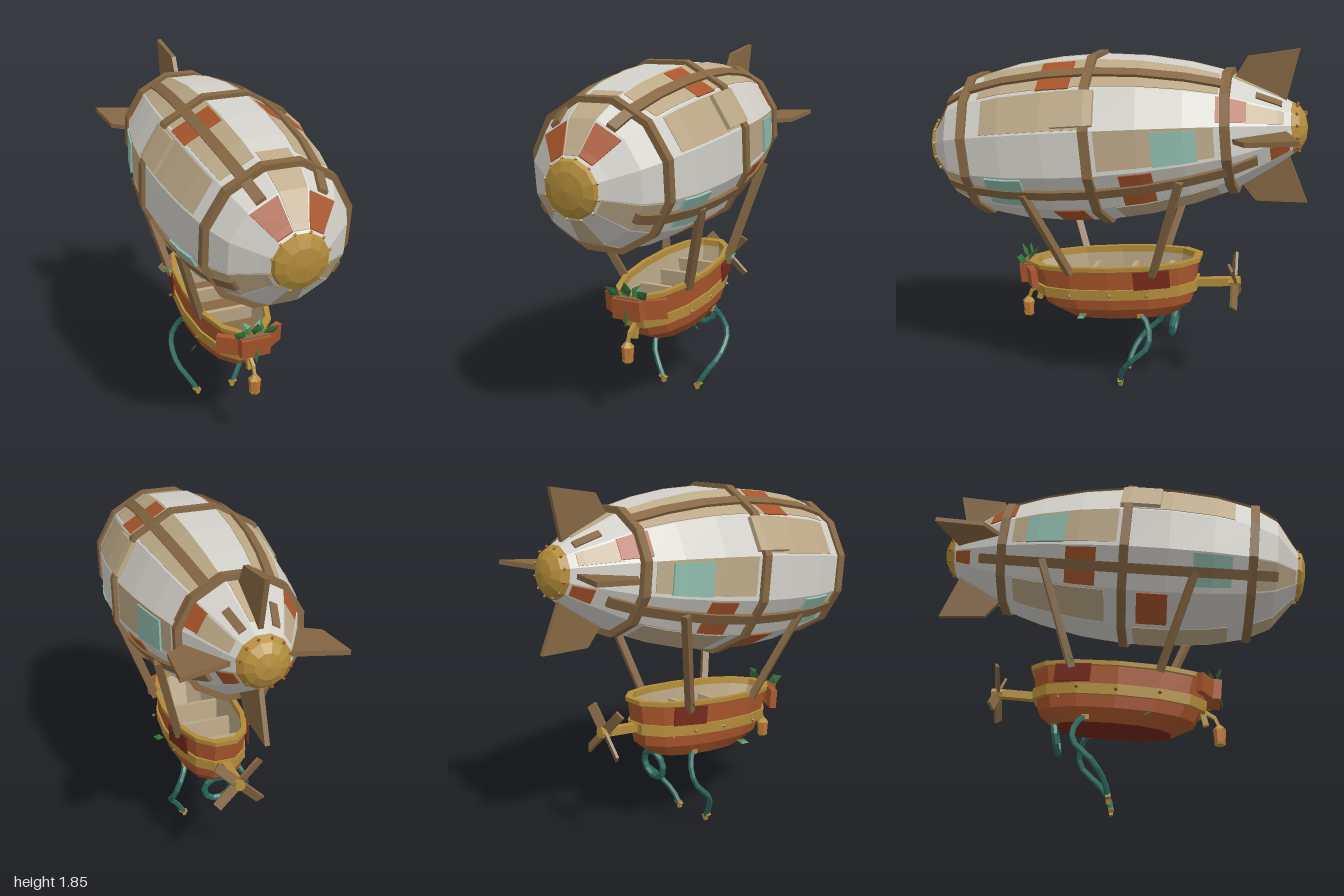
import * as THREE from 'three';

const mat = (name, color) => { const m = new THREE.MeshStandardMaterial({ color }); m.name = name; return m; };
const M = {
  white: mat('canvasWhite', 0xd2d0c9), tan: mat('canvasTan', 0xbba887), brown: mat('wood', 0x856743),
  gold: mat('brass', 0xb38d3a), rust: mat('rustWood', 0xa8552b), red: mat('darkRed', 0x74291b),
  rope: mat('ropeTeal', 0x2c6b60), teal: mat('patchTeal', 0x8fbaac), green: mat('leafGreen', 0x357038),
  amber: mat('lanternAmber', 0xc47a35),
};

// flat facets on any geometry
function flat(g) {
  const f = g.index ? g.toNonIndexed() : g;
  f.computeVertexNormals();
  return f;
}
function add(parent, name, geo, material, pos = [0, 0, 0], rot = [0, 0, 0]) {
  const m = new THREE.Mesh(flat(geo), material);
  m.name = name;
  m.position.set(...pos);
  m.rotation.set(...rot);
  parent.add(m);
  return m;
}
function fromQuads(quads) {
  const p = [];
  for (const [a, b, c, d] of quads) p.push(...a, ...b, ...c, ...a, ...c, ...d);
  const g = new THREE.BufferGeometry();
  g.setAttribute('position', new THREE.Float32BufferAttribute(p, 3));
  return g;
}
// square bar between two points
function beam(parent, name, a, b, w, material, h = w) {
  const A = new THREE.Vector3(...a), B = new THREE.Vector3(...b);
  const m = add(parent, name, new THREE.BoxGeometry(w, h, A.distanceTo(B)), material);
  m.position.copy(A).lerp(B, 0.5);
  m.quaternion.setFromUnitVectors(new THREE.Vector3(0, 0, 1), B.sub(A).normalize());
  return m;
}
function leaf(parent, base, dir, len, wid) {
  const g = new THREE.OctahedronGeometry(0.5).scale(wid, len, wid * 0.25).translate(0, len / 2, 0);
  const m = add(parent, 'leaf', g, M.green, base);
  m.quaternion.setFromUnitVectors(new THREE.Vector3(0, 1, 0), new THREE.Vector3(...dir).normalize());
}

// envelope: [position along axis, distance from axis to facet]
const PROFILE = [[-0.92, 0.118], [-0.85, 0.162], [-0.75, 0.215], [-0.613, 0.287], [-0.42, 0.345], [-0.2, 0.39],
  [0.045, 0.416], [0.27, 0.414], [0.5, 0.393], [0.7, 0.35], [0.83, 0.287], [0.92, 0.17], [0.955, 0.13]];
const T15 = Math.tan(Math.PI / 12), C15 = Math.cos(Math.PI / 12);
function radius(s) {
  for (let i = 1; i < PROFILE.length; i++) {
    const [s0, r0] = PROFILE[i - 1], [s1, r1] = PROFILE[i];
    if (s <= s1) return r0 + (r1 - r0) * (s - s0) / (s1 - s0);
  }
  return PROFILE.at(-1)[1];
}
// strip following facet k of the envelope, raised by d; lo/hi are facet fractions, or units when abs
function strip(k, s0, s1, lo, hi, d, abs = false) {
  const a = k * Math.PI / 6, sn = Math.sin(a), cs = Math.cos(a);
  const P = (s, u, h) => {
    const r = radius(s), t = abs ? u : u * r * T15;
    return [sn * (r + h) + cs * t, cs * (r + h) - sn * t, s];
  };
  const S = [s0, ...PROFILE.map(p => p[0]).filter(s => s > s0 + 1e-4 && s < s1 - 1e-4), s1];
  const q = [];
  for (let i = 1; i < S.length; i++) {
    const A = S[i - 1], B = S[i];
    q.push([P(A, lo, d), P(B, lo, d), P(B, hi, d), P(A, hi, d)]);
    if (d) q.push([P(A, lo, 0), P(B, lo, 0), P(B, lo, d), P(A, lo, d)], [P(A, hi, d), P(B, hi, d), P(B, hi, 0), P(A, hi, 0)]);
  }
  if (d) q.push([P(s1, lo, 0), P(s1, hi, 0), P(s1, hi, d), P(s1, lo, d)], [P(s0, lo, d), P(s0, hi, d), P(s0, hi, 0), P(s0, lo, 0)]);
  return q;
}
const both = (k, ...rest) => [...strip(k, ...rest), ...(k % 6 ? strip(12 - k, ...rest.slice(0, 2), -rest[3], -rest[2], ...rest.slice(4)) : [])];
// twelve-sided solid of revolution about z; points [radius to facet, z], z rising
function turned(points) {
  return new THREE.LatheGeometry(points.map(([r, z]) => new THREE.Vector2(r / C15, z)), 12, Math.PI / 12).rotateX(Math.PI / 2);
}

function buildBalloon() {
  const g = new THREE.Group();
  g.name = 'balloon';
  g.position.set(0, 1.3745, 0);
  g.rotation.x = 0.1;
  const skin = [];
  for (let k = 0; k < 12; k++) skin.push(...strip(k, -0.92, 0.955, -1, 1, 0));
  add(g, 'envelope', fromQuads(skin), M.white);

  // sewn panels: facet, start, end, low, high
  const panels = [[0, -0.85, -0.64, -0.8, 0.8], [0, 0.6, 0.68, -0.8, 0.8], [0, 0.72, 0.94, -0.9, 0.9], [1, -0.58, 0.02, -1, 0.9],
    [1, 0.07, 0.63, -1, 0.9], [2, 0.07, 0.6, -0.9, 0.9], [2, -0.88, -0.7, -0.8, 0.8], [3, -0.56, 0.0, -1, 0.8],
    [4, 0.73, 0.94, -0.9, 0.9], [5, -0.55, -0.05, -0.9, 0.9], [6, 0.72, 0.94, -0.9, 0.9], [6, 0.1, 0.6, -0.9, 0.9]];
  add(g, 'tanPanels', fromQuads(panels.flatMap(p => both(...p, 0.003))), M.tan);
  const rust = [[1, 0.84, 0.94, -1, 1], [1, 0.13, 0.3, -0.9, 1], [2, -0.71, -0.57, -0.9, 0.7],
    [4, -0.26, -0.1, -0.9, 0.95], [5, 0.12, 0.28, -0.9, 0.8], [4, -0.9, -0.81, -0.8, 0.8]];
  add(g, 'rustPatches', fromQuads(rust.flatMap(p => both(...p, 0.006))), M.rust);
  add(g, 'tealPatches', fromQuads([...both(3, -0.48, -0.27, -0.85, 0.85, 0.012), ...both(4, 0.4, 0.6, -0.9, 0.7, 0.012)]), M.teal);
  add(g, 'creamPatches', fromQuads(both(2, 0.0, 0.21, -0.85, 0.8, 0.024)), M.tan);

  // lengthwise straps and hoops
  const straps = [...both(1, -0.62, 0.83, -0.026, 0.026, 0.018, true), ...both(4, -0.75, 0.84, -0.026, 0.026, 0.018, true),
    ...both(1, -0.87, -0.75, -0.02, 0.02, 0.008, true)];
  add(g, 'lengthStraps', fromQuads(straps), M.brown);
  for (const s of [0.704, 0.045, -0.613]) {
    const r = radius(s), w = 0.023;
    add(g, 'hoop', turned([[r - 0.02, s - w], [r + 0.02, s - w], [r + 0.02, s + w], [r - 0.02, s + w]]), M.brown);
  }

  // end caps with rivets
  add(g, 'noseCap', turned([[0.125, 0.945], [0.136, 0.95], [0.128, 0.972], [0.085, 0.992], [0, 1.003]]), M.gold);
  add(g, 'tailCap', turned([[0, -0.985], [0.06, -0.975], [0.1, -0.95], [0.124, -0.915], [0.11, -0.905]]), M.gold);
  for (let i = 0; i < 12; i++) {
    const a = (i + 0.5) * Math.PI / 6, x = Math.sin(a), y = Math.cos(a);
    add(g, 'noseRivet', new THREE.OctahedronGeometry(0.01), M.gold, [x * 0.145, y * 0.145, 0.955]);
    add(g, 'tailRivet', new THREE.OctahedronGeometry(0.01), M.rust, [x * 0.118, y * 0.118, -0.94]);
  }

  // four tail fins
  const shape = new THREE.Shape([[-0.64, 0.265], [-0.885, 0.13], [-0.965, 0.385], [-0.71, 0.366]].map(p => new THREE.Vector2(...p)));
  for (let i = 0; i < 4; i++) {
    const fin = new THREE.ExtrudeGeometry(shape, { depth: 0.024, bevelEnabled: false });
    add(g, 'tailFin', fin.translate(0, 0, -0.012).rotateY(-Math.PI / 2).rotateZ(i * Math.PI / 2), M.brown);
  }
  return g;
}

// oval loft through layers [height, front, back, halfWidth]
function loft(layers, n = 14) {
  const P = ([y, f, b, w], i) => {
    const t = (i + 0.5) / n * Math.PI * 2, c = Math.cos(t), s = Math.sin(t);
    return [w * Math.sign(s) * Math.abs(s) ** 0.85, y, (f + b) / 2 + (f - b) / 2 * Math.sign(c) * Math.abs(c) ** 0.9];
  };
  const q = [];
  for (let j = 1; j < layers.length; j++)
    for (let i = 0; i < n; i++) q.push([P(layers[j - 1], i), P(layers[j - 1], i + 1), P(layers[j], i + 1), P(layers[j], i)]);
  return fromQuads(q);
}

function buildGondola() {
  const g = new THREE.Group();
  g.name = 'gondola';
  g.position.set(0, 0.55, 0);
  g.rotation.x = 0.1;
  add(g, 'hull', loft([[-0.145, 0.27, -0.34, 0.135], [-0.08, 0.385, -0.43, 0.178], [0.01, 0.425, -0.455, 0.19], [0.15, 0.45, -0.485, 0.197]]), M.rust);
  add(g, 'keelPlate', loft([[-0.145, -0.03, -0.04, 0], [-0.145, 0.27, -0.34, 0.135]]), M.red);
  add(g, 'interior', loft([[0.15, 0.425, -0.46, 0.178], [-0.07, 0.37, -0.41, 0.16], [-0.07, 0, -0.01, 0]]), M.tan);
  add(g, 'rim', loft([[0.135, 0.45, -0.485, 0.197], [0.14, 0.462, -0.497, 0.204], [0.163, 0.465, -0.5, 0.205], [0.163, 0.425, -0.46, 0.178], [0.13, 0.42, -0.455, 0.176]]), M.gold);
  add(g, 'band', loft([[-0.018, 0.41, -0.44, 0.185], [-0.018, 0.44, -0.468, 0.201], [0.038, 0.447, -0.474, 0.203], [0.038, 0.42, -0.45, 0.185]]), M.gold);

  // benches
  for (const z of [0.17, -0.05, -0.25]) {
    add(g, 'benchSeat', new THREE.BoxGeometry(0.28, 0.06, 0.09), M.brown, [0, -0.02, z]);
    add(g, 'benchBack', new THREE.BoxGeometry(0.28, 0.12, 0.025), M.tan, [0, 0.03, z - 0.055]);
  }
  // red side plates, rivets and side leaves
  for (const x of [-1, 1]) {
    add(g, 'redPlate', new THREE.BoxGeometry(0.009, 0.095, 0.19), M.red, [x * 0.187, 0.09, -0.25], [0, x * 0.22, 0]);
    for (const z of [0.2, -0.02, -0.22]) add(g, 'bandRivet', new THREE.OctahedronGeometry(0.012), M.brown, [x * 0.203, 0.01, z]);
    leaf(g, [x * 0.19, 0.14, -0.24], [x * 0.6, 0.4, -0.6], 0.07, 0.035);
    leaf(g, [x * 0.17, -0.1, 0.12], [x * 0.7, -0.1, 0.6], 0.07, 0.035);
  }

  // bow planter
  add(g, 'planter', new THREE.BoxGeometry(0.16, 0.105, 0.08), M.rust, [0, 0.1, 0.465]);
  for (const x of [-1, 1]) add(g, 'planterSide', new THREE.BoxGeometry(0.11, 0.1, 0.035), M.rust, [x * 0.125, 0.095, 0.42], [0, x * 0.55, 0]);
  add(g, 'soil', new THREE.BoxGeometry(0.13, 0.012, 0.05), M.brown, [0, 0.155, 0.465]);
  for (const [x, y, z, l] of [[0, 1, 0.35, 0.1], [0.9, 0.6, 0.3, 0.1], [-0.9, 0.6, 0.3, 0.1], [0.4, 0.8, -0.6, 0.08], [-0.4, 0.8, -0.6, 0.08]])
    leaf(g, [x * 0.05, 0.155, 0.47], [x, y, z], l, 0.06);
  leaf(g, [0, 0.1, 0.505], [0, -1, 0.15], 0.09, 0.025);

  // stern boom and propeller
  beam(g, 'boom', [0, 0.012, -0.44], [0, 0.015, -0.64], 0.042, M.gold);
  add(g, 'propellerHub', new THREE.CylinderGeometry(0.028, 0.028, 0.06, 8).rotateX(Math.PI / 2), M.gold, [0, 0.015, -0.655]);
  for (let i = 0; i < 4; i++) {
    const blade = new THREE.BoxGeometry(0.05, 0.14, 0.014).rotateY(0.45).translate(0, 0.09, 0).rotateZ(Math.PI / 4 + i * Math.PI / 2);
    add(g, 'propellerBlade', blade, M.brown, [0, 0.015, -0.655]);
  }
  return g;
}

function buildLantern() {
  const g = new THREE.Group();
  g.name = 'lantern';
  beam(g, 'lanternBracket', [0, 0.53, 0.41], [0, 0.43, 0.43], 0.028, M.gold);
  beam(g, 'lanternArm', [0, 0.51, 0.42], [0, 0.47, 0.48], 0.018, M.gold);
  beam(g, 'lanternHook', [0, 0.475, 0.475], [0, 0.42, 0.498], 0.016, M.gold);
  add(g, 'lanternTop', new THREE.CylinderGeometry(0.012, 0.035, 0.025, 6), M.gold, [0, 0.42, 0.497]);
  add(g, 'lanternGlass', new THREE.CylinderGeometry(0.033, 0.027, 0.072, 6), M.amber, [0, 0.372, 0.497]);
  add(g, 'lanternBase', new THREE.CylinderGeometry(0.03, 0.026, 0.012, 6), M.gold, [0, 0.332, 0.497]);
  return g;
}

export function createModel() {
  const root = new THREE.Group();
  root.name = 'airship';
  root.add(buildBalloon(), buildGondola(), buildLantern());
  for (const x of [-1, 1]) {
    // struts between balloon and gondola
    beam(root, 'frontStrut', [x * 0.355, 1.13, 0.39], [x * 0.185, 0.66, 0.2], 0.036, M.brown);
    beam(root, 'rearStrut', [x * 0.33, 1.24, -0.4], [x * 0.185, 0.69, -0.245], 0.036, M.brown);
    // trailing mooring ropes with brass ends
    const pts = [[0.13, 0.45, -0.17], [0.16, 0.4, -0.22], [0.205, 0.3, -0.23], [0.205, 0.19, -0.13], [0.15, 0.1, -0.075], [0.11, 0.03, -0.06]];
    const curve = new THREE.CatmullRomCurve3(pts.map(([a, b, c]) => new THREE.Vector3(a * x, b, c)));
    add(root, 'mooringRope', new THREE.TubeGeometry(curve, 10, 0.015, 6), M.rope);
    add(root, 'ropeCollar', new THREE.BoxGeometry(0.036, 0.025, 0.036), M.gold, [x * 0.13, 0.44, -0.175]);
    add(root, 'ropeEnd', new THREE.BoxGeometry(0.045, 0.02, 0.025), M.gold, [x * 0.112, 0.033, -0.06], [0, 0, x * 0.5]);
    add(root, 'ropeHook', new THREE.BoxGeometry(0.018, 0.04, 0.02), M.gold, [x * 0.11, 0.022, -0.06], [0, 0, -x * 0.3]);
  }
  // coiled rope under the stern
  add(root, 'ropeCoil', new THREE.TorusGeometry(0.074, 0.017, 6, 10), M.rope, [0, 0.375, -0.335], [-0.12, 0, 0]);
  return root;
}
